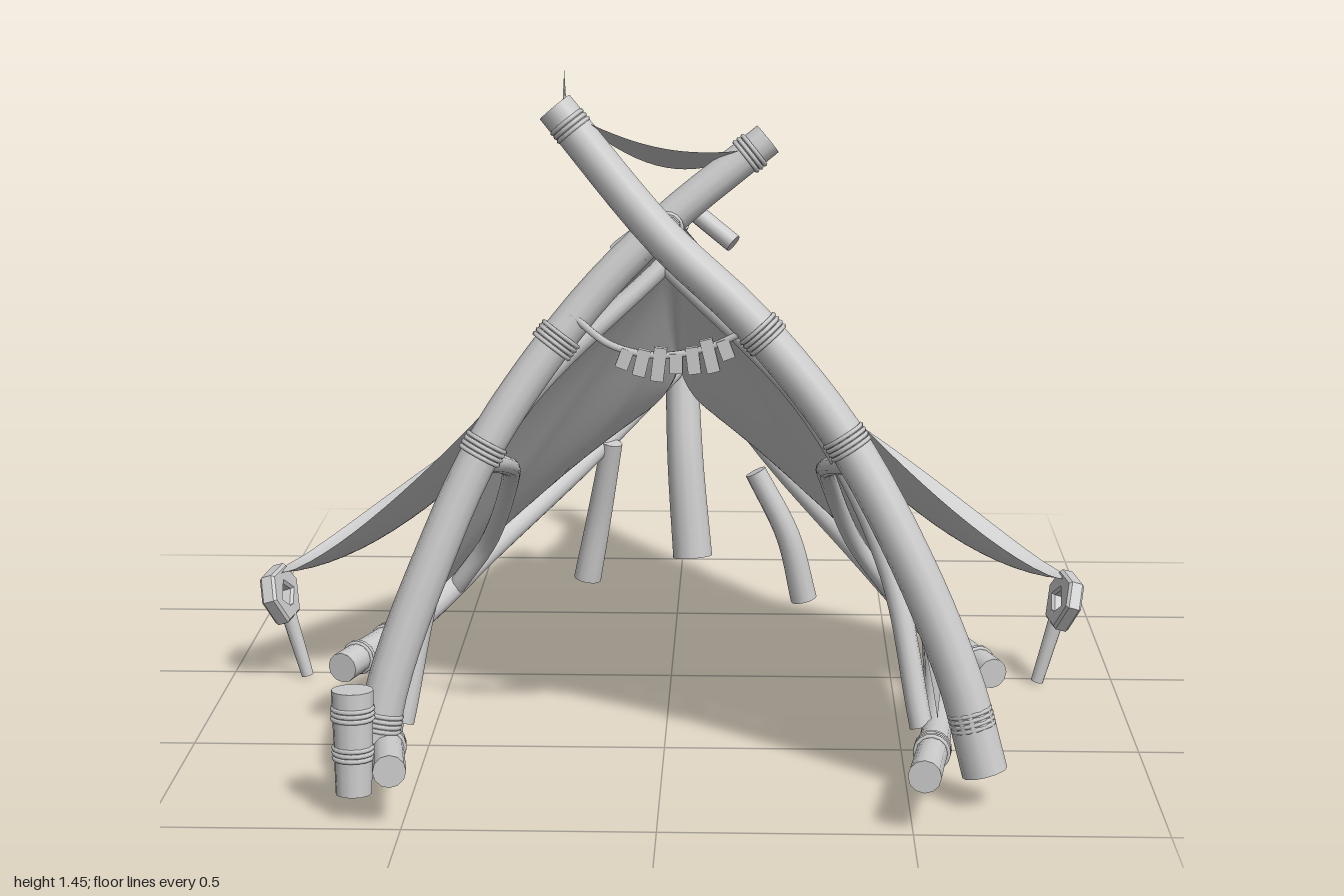
import * as THREE from 'three';

const grey = new THREE.MeshStandardMaterial({ color: 0xcccccc });
const cloth = new THREE.MeshStandardMaterial({ color: 0xcccccc, side: THREE.DoubleSide });
const Z = new THREE.Vector3(0, 0, 1);
const V = (p) => new THREE.Vector3(...p);
const lerp = THREE.MathUtils.lerp;

export function createModel() {
  const model = new THREE.Group();

  const add = (name, geo, mat = grey, parent = model) => {
    const m = new THREE.Mesh(geo, mat);
    m.name = name;
    parent.add(m);
    return m;
  };

  // Tapered, capped log following a curve
  const pole = (name, pts, r0, r1 = r0) => {
    const curve = new THREE.CatmullRomCurve3(pts.map(V));
    const seg = pts.length > 2 ? 28 : 1;
    const geo = new THREE.TubeGeometry(curve, seg, 1, 12);
    const p = geo.attributes.position, n = geo.attributes.normal;
    for (let i = 0; i < p.count; i++) {
      const k = lerp(r0, r1, Math.floor(i / 13) / seg) - 1;
      p.setXYZ(i, p.getX(i) + n.getX(i) * k, p.getY(i) + n.getY(i) * k, p.getZ(i) + n.getZ(i) * k);
    }
    add(name, geo);
    for (const t of [0, 1]) {
      const cap = add(name + 'End', new THREE.CircleGeometry(t ? r1 : r0, 12));
      cap.position.copy(curve.getPointAt(t));
      cap.quaternion.setFromUnitVectors(Z, curve.getTangentAt(t).multiplyScalar(t ? 1 : -1));
    }
    return curve;
  };

  // Rope lashing: a few thin rings around a log
  const lash = (curve, t, r, turns = 3) => {
    for (let i = 0; i < turns; i++) {
      const ring = add('ropeLashing', new THREE.TorusGeometry(r, 0.005, 6, 16));
      const tan = curve.getTangentAt(t);
      ring.position.copy(curve.getPointAt(t)).addScaledVector(tan, (i - (turns - 1) / 2) * 0.01);
      ring.quaternion.setFromUnitVectors(Z, tan);
    }
  };

  // Cloth: a plane grid whose points follow f(u, v), both from 0 to 1
  const sheet = (name, f, nu, nv) => {
    const geo = new THREE.PlaneGeometry(1, 1, nu, nv);
    const p = geo.attributes.position;
    for (let i = 0; i < p.count; i++) p.setXYZ(i, ...f(p.getX(i) + 0.5, 0.5 - p.getY(i)));
    geo.computeVertexNormals();
    return add(name, geo, cloth);
  };

  // Crossed front poles
  const archL = pole('frontPoleLeft', [[0.65, 0.07, 0.83], [0.6, 0.25, 0.81], [0.5, 0.49, 0.78], [0.36, 0.74, 0.74],
    [0.18, 0.96, 0.715], [0, 1.13, 0.7], [-0.21, 1.38, 0.67]], 0.046, 0.038);
  const archR = pole('frontPoleRight', [[-0.58, 0.06, 0.84], [-0.54, 0.25, 0.81], [-0.46, 0.47, 0.77], [-0.35, 0.71, 0.72],
    [-0.165, 0.97, 0.66], [0, 1.14, 0.63], [0.21, 1.31, 0.6]], 0.044, 0.034);
  for (const c of [archL, archR]) {
    for (const t of [0.07, 0.45, 0.62]) lash(c, t, 0.042, 4);
    lash(c, 0.97, 0.036, 3);
  }

  // Front corner post
  const corner = pole('cornerPost', [[-0.6, 0.05, 0.93], [-0.6, 0.26, 0.92]], 0.036, 0.042);
  lash(corner, 0.78, 0.04, 3);
  lash(corner, 0.4, 0.038, 3);

  // Ridge pole and rear post
  const ridge = pole('ridgePole', [[0.01, 1.14, 0.7], [0.01, 1.11, 0.3], [0, 0.98, -0.07], [0, 0.77, -0.4],
    [0, 0.66, -0.62], [0, 0.62, -0.95]], 0.03, 0.024);
  lash(ridge, 0.03, 0.03, 4);
  const rear = pole('rearPost', [[0.03, 0.05, -0.85], [0.01, 0.3, -0.885], [0, 0.55, -0.94], [0, 0.75, -0.96]], 0.05, 0.038);
  lash(rear, 0.7, 0.04, 4);

  // Mirrored frame logs
  for (const s of [1, -1]) {
    const log = pole('floorLog', [[s * 0.52, 0.12, 1.0], [s * 0.56, 0.11, 0.7], [s * 0.585, 0.1, 0.3], [s * 0.6, 0.08, -0.1]], 0.033, 0.026);
    lash(log, 0.16, 0.033, 4);
    const rail = pole('sideRail', [[s * 0.7, 0.13, 0.37], [s * 0.57, 0.145, 0.02], [s * 0.43, 0.23, -0.27], [s * 0.22, s > 0 ? 0.39 : 0.37, -0.6],
      [0, s > 0 ? 0.61 : 0.54, -0.93]], 0.033, 0.024);
    lash(rail, 0.14, 0.032, 3);
    lash(rail, 0.05, 0.033, 2);
    pole('innerArch', [[s * 0.53, 0.12, 0.7], [s * 0.46, 0.44, 0.62], [s * 0.3, 0.74, 0.54], [0, 1.03, 0.44]], 0.024, 0.02);
    // Curved brace from the front pole back to the side rail
    pole('sideBrace', [[s * 0.38, 0.66, 0.67], [s * 0.34, 0.59, 0.4], [s * 0.35, 0.5, 0.15], [s * 0.42, 0.3, -0.05], [s * 0.5, 0.18, -0.1]], 0.02);
  }
  pole('rearLegRight', [[-0.23, 0.04, -0.67], [-0.2, 0.2, -0.66], [-0.165, 0.4, -0.63]], 0.034, 0.026);
  pole('rearLegLeft', [[0.31, 0.04, -0.5], [0.27, 0.2, -0.495], [0.19, 0.36, -0.5]], 0.032, 0.026);

  // Main canopy, swept from the front arch to the rear post
  const top = new THREE.CatmullRomCurve3([[0, 1.1, 0.67], [0, 1.055, 0.3], [0, 0.945, -0.05], [0, 0.75, -0.35], [0, 0.605, -0.62], [0, 0.565, -0.93]].map(V));
  const hem = new THREE.CatmullRomCurve3([[0.56, 0.15, 0.74], [0.59, 0.18, 0.35], [0.545, 0.185, 0], [0.38, 0.295, -0.3], [0.18, 0.44, -0.62], [0.012, 0.55, -0.93]].map(V));
  const bulge = [0.12, 0.07, 0, -0.03, -0.04, -0.01];
  sheet('canopy', (u, v) => {
    const t = Math.abs(u * 2 - 1), s = u < 0.5 ? -1 : 1;
    const a = top.getPoint(v), b = hem.getPoint(v);
    const i = Math.min(4, Math.floor(v * 5));
    const k = lerp(bulge[i], bulge[i + 1], v * 5 - i) * 4 * t * (1 - t);
    const q = a.lerp(b, t);
    return [s * (q.x + k * 0.8), q.y + k * 0.6, q.z - 0.025 * Math.sin(Math.PI * t) * (1 - v) ** 4];
  }, 40, 50);

  // Rain fly stretched over the ridge to two side pegs; its middle sags, its edges are taut
  const rodY = (z) => 1.06 + 0.435 * z - 0.371 * z * z;
  const flyFront = (t) => 0.05 + 0.31 * (1 - t ** 1.9);
  const flyBack = (t) => -0.02 - 0.43 * (1 - t ** 1.5);
  const flyPoint = (x, z, off = 0) => {
    const t = Math.min(1, Math.abs(x) / 0.88);
    const w = (z - flyBack(t)) / (flyFront(t) - flyBack(t));
    return [x, 0.25 + (rodY(z) - 0.28) * (1 - t) ** (1.2 + 2 * w * (1 - w)) + off, z];
  };
  sheet('rainFly', (u, v) => {
    const x = (u * 2 - 1) * 0.88, t = Math.abs(u * 2 - 1);
    return flyPoint(x, lerp(flyFront(t), flyBack(t), v));
  }, 48, 24);

  // Scalloped cover along the ridge, its points held by toggles
  const ties = [[0.3, 0.19], [0.36, 0], [0.3, -0.235]];
  sheet('ridgeCover', (u, v) => {
    const z = lerp(0.19, -0.235, v);
    const w = 0.33 - 0.12 * Math.abs(Math.sin(Math.PI * (z > 0 ? z / 0.19 : z / 0.235)));
    return flyPoint((u * 2 - 1) * w, z, 0.007);
  }, 24, 32);
  for (const s of [1, -1]) for (const [x, z] of ties) {
    const tie = new THREE.Group();
    tie.name = 'toggleTie';
    tie.position.set(...flyPoint(s * x, z, 0.02));
    tie.rotation.z = -s * 0.85;
    model.add(tie);
    const ring = add('knot', new THREE.TorusGeometry(0.016, 0.011, 6, 12), grey, tie);
    ring.rotation.x = Math.PI / 2;
    for (const a of [0.5, -0.7]) {
      const peg = add('toggle', new THREE.CapsuleGeometry(0.013, 0.045, 4, 8), grey, tie);
      peg.position.set(s * 0.02, 0.004, a * 0.03);
      peg.rotation.set(0, a * s, Math.PI / 2);
    }
    const cord = [0, 0.33, 0.66, 1].map((k) => V(flyPoint(s * lerp(0.22, x, k), lerp(z * 0.8, z, k), 0.008)));
    add('tieCord', new THREE.TubeGeometry(new THREE.CatmullRomCurve3(cord), 12, 0.003, 5));
  }

  // Crooked rod on top of the fly, with cloth loops and lashed cross sticks
  const rodPts = [0.34, 0.12, -0.1, -0.33, -0.56].map((z) => [0.015 + 0.17 * z, rodY(z), z]);
  const rod = pole('ridgeRod', rodPts, 0.027, 0.023);
  for (const t of [0.28, 0.4, 0.52, 0.64, 0.76]) {
    const p = [t - 0.025, t, t + 0.025].map((k) => rod.getPointAt(k).toArray());
    pole('clothLoop', p, 0.031);
  }
  lash(rod, 0.08, 0.026, 3);
  lash(rod, 0.93, 0.024, 3);
  pole('frontCrossStickLeft', [[0.02, 1.14, 0.25], [0.14, 1.05, 0.3]], 0.02);
  pole('frontCrossStickRight', [[0.07, 1.16, 0.29], [-0.1, 1.03, 0.25], [-0.11, 1.02, 0.25]], 0.02);
  pole('rearCrossStickLeft', [[0.03, 0.71, -0.51], [0.15, 0.62, -0.46]], 0.022);
  pole('rearCrossStickRight', [[-0.01, 0.8, -0.44], [-0.16, 0.62, -0.49]], 0.022);

  // Ground pegs with hexagonal tension plates
  for (const s of [1, -1]) {
    const hex = new THREE.Shape([[0.075, 0.01], [0.04, 0.055], [-0.045, 0.055], [-0.075, 0.01], [-0.04, -0.05], [0.035, -0.05]]
      .map(([x, y]) => new THREE.Vector2(x, y)));
    hex.holes.push(new THREE.Path([[0.045, 0], [0, -0.034], [-0.045, 0], [0, 0.034]].map(([x, y]) => new THREE.Vector2(x, y))));
    const geo = new THREE.ExtrudeGeometry(hex, { depth: 0.024, bevelSize: 0.006, bevelThickness: 0.006, bevelSegments: 1 });
    geo.translate(0, 0, -0.012);
    const plate = add('tensionPlate', geo);
    plate.position.set(s * 0.885, 0.195, 0.035);
    plate.rotation.set(0, Math.PI / 2 + s * 0.15, -s * 0.3, 'ZYX');
    pole('groundPeg', [[s * 0.875, 0.17, 0.03], [s * 0.83, 0.005, 0.03]], 0.018, 0.014);
  }

  // Small sagging cloth between the pole tops
  sheet('topPennant', (u, v) => {
    const w = Math.sin(Math.PI * u) * (v - 0.5), sag = Math.sin(Math.PI * u);
    return [lerp(-0.19, 0.2, u), lerp(1.37, 1.29, u) - 0.055 * sag + w * 0.055, lerp(0.67, 0.6, u) + w * 0.13];
  }, 20, 6);
  const spike = add('poleSpike', new THREE.ConeGeometry(0.005, 0.08, 6));
  spike.position.set(-0.19, 1.415, 0.68);

  // Hanging garland across the entrance
  const string = new THREE.CatmullRomCurve3([[-0.18, 0.97, 0.69], [-0.1, 0.91, 0.7], [0, 0.89, 0.705], [0.1, 0.91, 0.71], [0.21, 0.97, 0.73]].map(V));
  add('garlandString', new THREE.TubeGeometry(string, 24, 0.008, 6));
  for (let i = 0; i < 7; i++) {
    const charm = add('garlandCharm', new THREE.BoxGeometry(0.026, 0.04 + 0.014 * (i % 3), 0.016));
    charm.position.copy(string.getPointAt(0.3 + i * 0.08));
    charm.position.y -= 0.018;
    charm.rotation.z = (i - 3) * 0.12;
  }
  return model;
}
